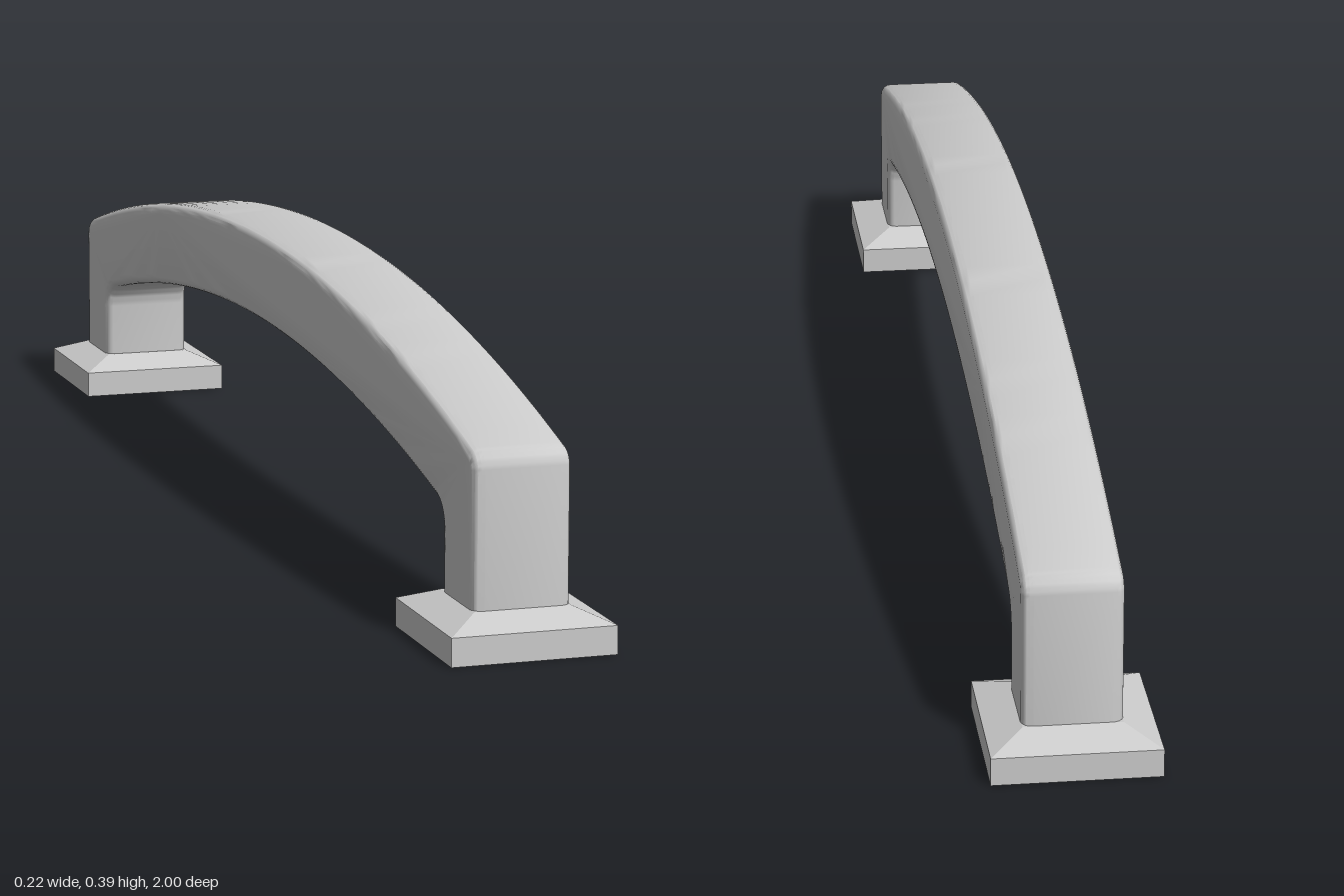
import * as THREE from 'three';
import { toCreasedNormals } from 'three/addons/utils/BufferGeometryUtils.js';

const WIDTH = 0.132, BEVEL = 0.015;
const LEG_OUT = 0.953, LEG_IN = 0.828;   // z of the leg's outer and inner faces
const FOOT_Z = 0.889, FOOT_HALF = 0.111;

// Height of a shallow circular arc: peak at z = 0, reaching y = end at z = span
function arcHeight(peak, end, span) {
  const drop = peak - end;
  const r = (span * span + drop * drop) / (2 * drop);
  return z => peak - r + Math.sqrt(r * r - z * z);
}

// Arched bar and both legs as one bevelled side profile
function createBar(material) {
  const top = arcHeight(0.388, 0.257, LEG_OUT);
  const under = arcHeight(0.262, 0.165, LEG_IN);
  const bottom = 0.025, ro = 0.024, ri = 0.03, steps = 40;
  const s = new THREE.Shape();

  s.moveTo(LEG_IN, bottom);
  s.lineTo(LEG_OUT, bottom);
  s.lineTo(LEG_OUT, top(LEG_OUT) - ro);
  // rounded shoulders and outer arc
  const zo = LEG_OUT - ro;
  s.quadraticCurveTo(LEG_OUT, top(LEG_OUT), zo, top(zo));
  for (let i = 1; i <= steps; i++) {
    const z = zo - (2 * zo * i) / steps;
    s.lineTo(z, top(z));
  }
  s.quadraticCurveTo(-LEG_OUT, top(LEG_OUT), -LEG_OUT, top(LEG_OUT) - ro);
  s.lineTo(-LEG_OUT, bottom);
  s.lineTo(-LEG_IN, bottom);
  // filleted inner corners and underside arc
  const zi = LEG_IN - ri;
  s.lineTo(-LEG_IN, under(LEG_IN) - ri);
  s.quadraticCurveTo(-LEG_IN, under(LEG_IN), -zi, under(zi));
  for (let i = 1; i <= steps; i++) {
    const z = -zi + (2 * zi * i) / steps;
    s.lineTo(z, under(z));
  }
  s.quadraticCurveTo(LEG_IN, under(LEG_IN), LEG_IN, under(LEG_IN) - ri);
  s.closePath();

  const depth = WIDTH - 2 * BEVEL;
  const geo = new THREE.ExtrudeGeometry(s, {
    depth, curveSegments: 8, bevelEnabled: true,
    bevelThickness: BEVEL, bevelSize: BEVEL, bevelOffset: -BEVEL, bevelSegments: 5,
  });
  geo.translate(0, 0, -depth / 2);
  geo.rotateY(-Math.PI / 2);
  const bar = new THREE.Mesh(toCreasedNormals(geo, Math.PI / 5), material);
  bar.name = 'archedBar';
  return bar;
}

// Square foot: flat plate with a sloped collar up to the leg
function createFoot(material, name) {
  const foot = new THREE.Group();
  foot.name = name;
  const plateH = 0.038, collarH = 0.019;

  const plate = new THREE.Mesh(
    new THREE.BoxGeometry(FOOT_HALF * 2, plateH, FOOT_HALF * 2), material);
  plate.name = 'footPlate';
  plate.position.y = plateH / 2;

  const collarGeo = new THREE.CylinderGeometry(
    0.065 * Math.SQRT2, FOOT_HALF * Math.SQRT2, collarH, 4);
  collarGeo.rotateY(Math.PI / 4);
  const collar = new THREE.Mesh(toCreasedNormals(collarGeo, 0.2), material);
  collar.name = 'footCollar';
  collar.position.y = plateH + collarH / 2;

  foot.add(plate, collar);
  return foot;
}

export function createModel() {
  const model = new THREE.Group();
  model.name = 'pullHandle';
  const material = new THREE.MeshStandardMaterial({ color: 0xcccccc });

  model.add(createBar(material));
  for (const side of [1, -1]) {
    const foot = createFoot(material, side > 0 ? 'frontFoot' : 'backFoot');
    foot.position.z = side * FOOT_Z;
    model.add(foot);
  }
  return model;
}
